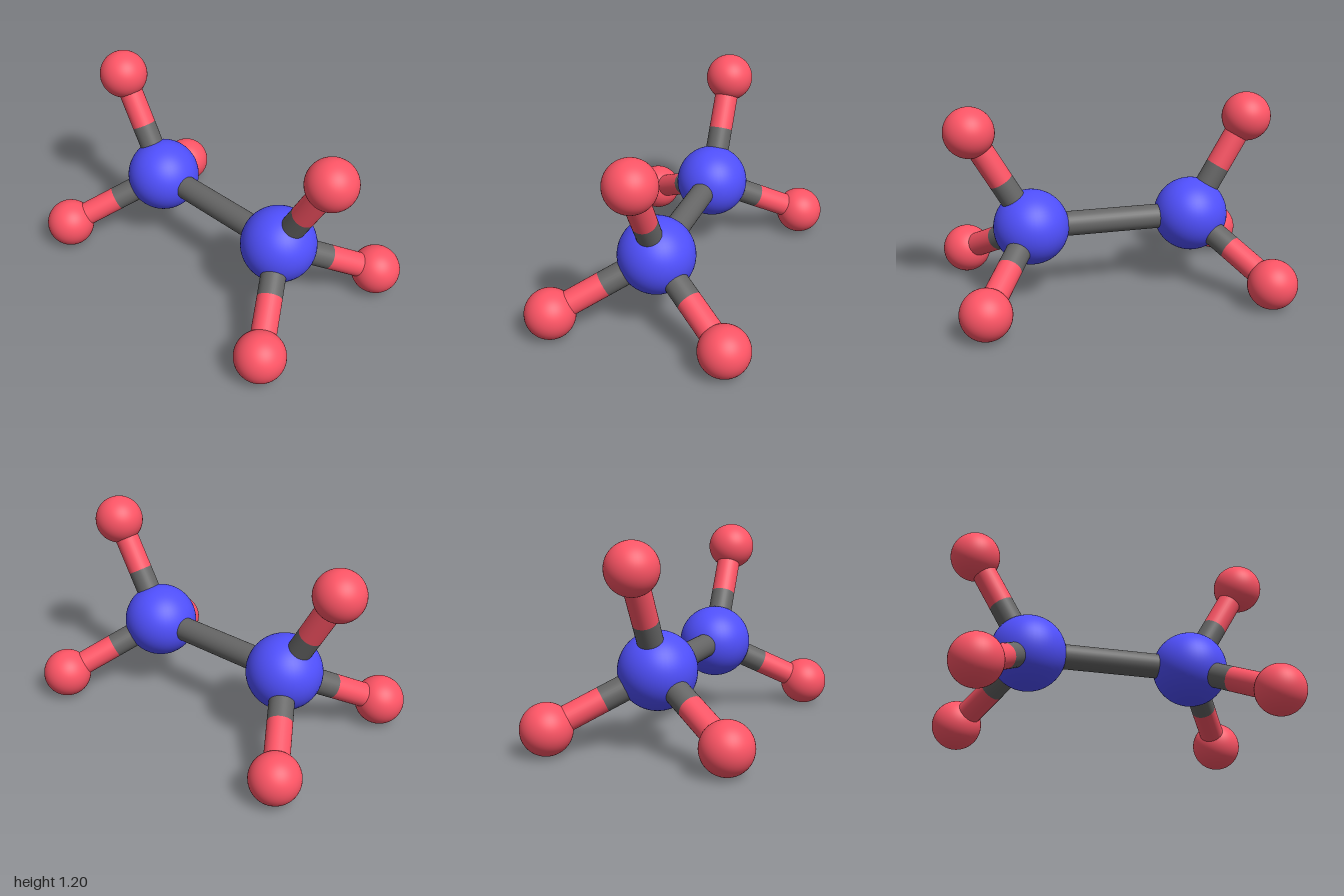
import * as THREE from 'three';

const BLUE = new THREE.MeshStandardMaterial({ color: 0x5050ff });
const RED = new THREE.MeshStandardMaterial({ color: 0xff5566 });
const GREY = new THREE.MeshStandardMaterial({ color: 0x666666 });

const BOND_RADIUS = 0.075;
const CENTRE_Y = 0.453;

function ball(name, position, radius, material) {
  const mesh = new THREE.Mesh(new THREE.SphereGeometry(radius, 48, 32), material);
  mesh.name = name;
  mesh.position.copy(position);
  return mesh;
}

// Cylinder running from point a to point b
function rod(name, a, b, material) {
  const dir = b.clone().sub(a);
  const mesh = new THREE.Mesh(
    new THREE.CylinderGeometry(BOND_RADIUS, BOND_RADIUS, dir.length(), 32), material);
  mesh.name = name;
  mesh.position.copy(a).add(b).multiplyScalar(0.5);
  mesh.quaternion.setFromUnitVectors(new THREE.Vector3(0, 1, 0), dir.normalize());
  return mesh;
}

export function createModel() {
  const model = new THREE.Group();
  model.name = 'ballAndStickMolecule';
  const centres = [];

  for (const [end, side] of [['front', 1], ['back', -1]]) {
    // Large central atom
    const centre = new THREE.Vector3(0, CENTRE_Y, 0.503 * side);
    centres.push(centre);
    model.add(ball(`${end}CentralAtom`, centre, 0.228, BLUE));

    // Three outer atoms, each on a two-coloured bond split at its middle
    ['Top', 'Left', 'Right'].forEach((label, i) => {
      const angle = Math.PI / 2 - i * Math.PI * 2 / 3;
      const outer = new THREE.Vector3(
        0.603 * Math.cos(angle), CENTRE_Y + 0.603 * Math.sin(angle), 0.85 * side);
      const middle = centre.clone().lerp(outer, 0.5);
      const arm = new THREE.Group();
      arm.name = `${end}${label}Arm`;
      arm.add(
        rod('innerBond', centre, middle, GREY),
        rod('outerBond', middle, outer, RED),
        ball('outerAtom', outer, 0.15, RED));
      model.add(arm);
    });
  }

  // Long bond joining the two central atoms
  model.add(rod('centralBond', centres[1], centres[0], GREY));
  return model;
}
